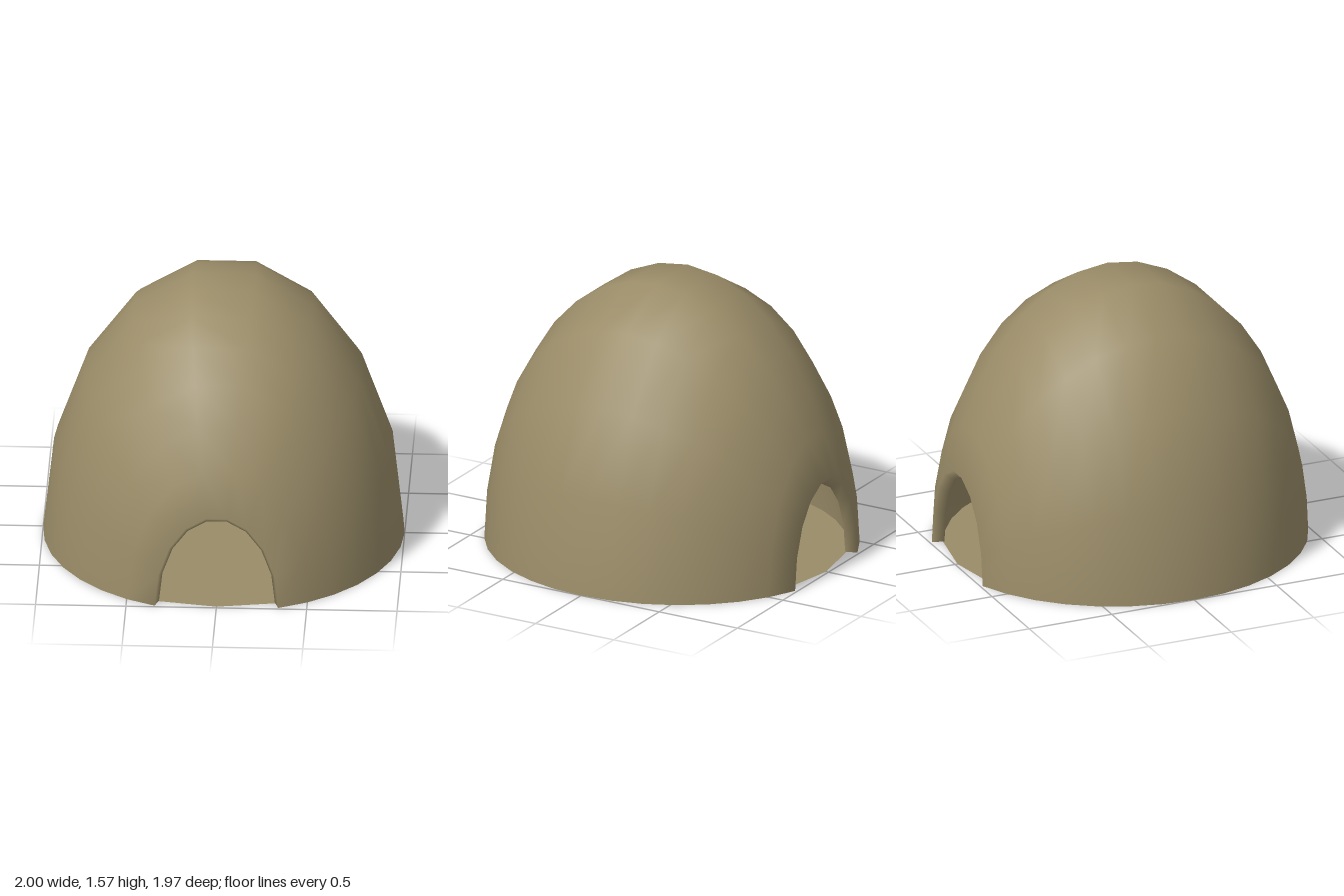
import * as THREE from 'three';

// Point on an ellipsoid whose poles lie on the z axis
function ellipsoidPoint([rx, ry, rz], lat, lon) {
  const a = THREE.MathUtils.degToRad(lat), b = THREE.MathUtils.degToRad(lon);
  return [
    rx * Math.cos(a) * Math.cos(b),
    ry * Math.cos(a) * Math.sin(b),
    rz * Math.sin(a),
  ];
}

// Half-ellipsoid shell, cut off near both poles to leave the two arched doorways
function shellGeometry(outer, inner) {
  const rows = [];
  for (let lat = -70; lat <= 70; lat += 10) rows.push([outer, lat]);
  for (let lat = 70; lat >= -70; lat -= 10) rows.push([inner, lat]);

  const columns = 9;
  const positions = [], indices = [];
  for (const [radii, lat] of rows) {
    for (let j = 0; j <= columns; j++) {
      positions.push(...ellipsoidPoint(radii, lat, j * 180 / columns));
    }
  }
  const stride = columns + 1;
  rows.forEach((_, i) => {
    const next = (i + 1) % rows.length; // the last row closes the back doorway rim
    for (let j = 0; j < columns; j++) {
      const a = i * stride + j, c = next * stride + j;
      indices.push(a, a + 1, c, a + 1, c + 1, c);
    }
  });

  const geometry = new THREE.BufferGeometry();
  geometry.setAttribute('position', new THREE.Float32BufferAttribute(positions, 3));
  geometry.setIndex(indices);
  geometry.computeVertexNormals();
  return geometry;
}

export function createModel() {
  const group = new THREE.Group();
  group.name = 'domeHut';

  const clay = new THREE.MeshStandardMaterial({ color: 0x9a8c68, side: THREE.DoubleSide });
  clay.name = 'clay';

  // Dome wall with a doorway at the front and the back
  const dome = new THREE.Mesh(shellGeometry([1, 1.595, 1.05], [0.937, 1.46, 0.98]), clay);
  dome.name = 'domeShell';
  group.add(dome);

  // Flat floor
  const floor = new THREE.Mesh(new THREE.CircleGeometry(0.985, 18, Math.PI / 2), clay);
  floor.name = 'floor';
  floor.rotation.x = -Math.PI / 2;
  group.add(floor);

  return group;
}
